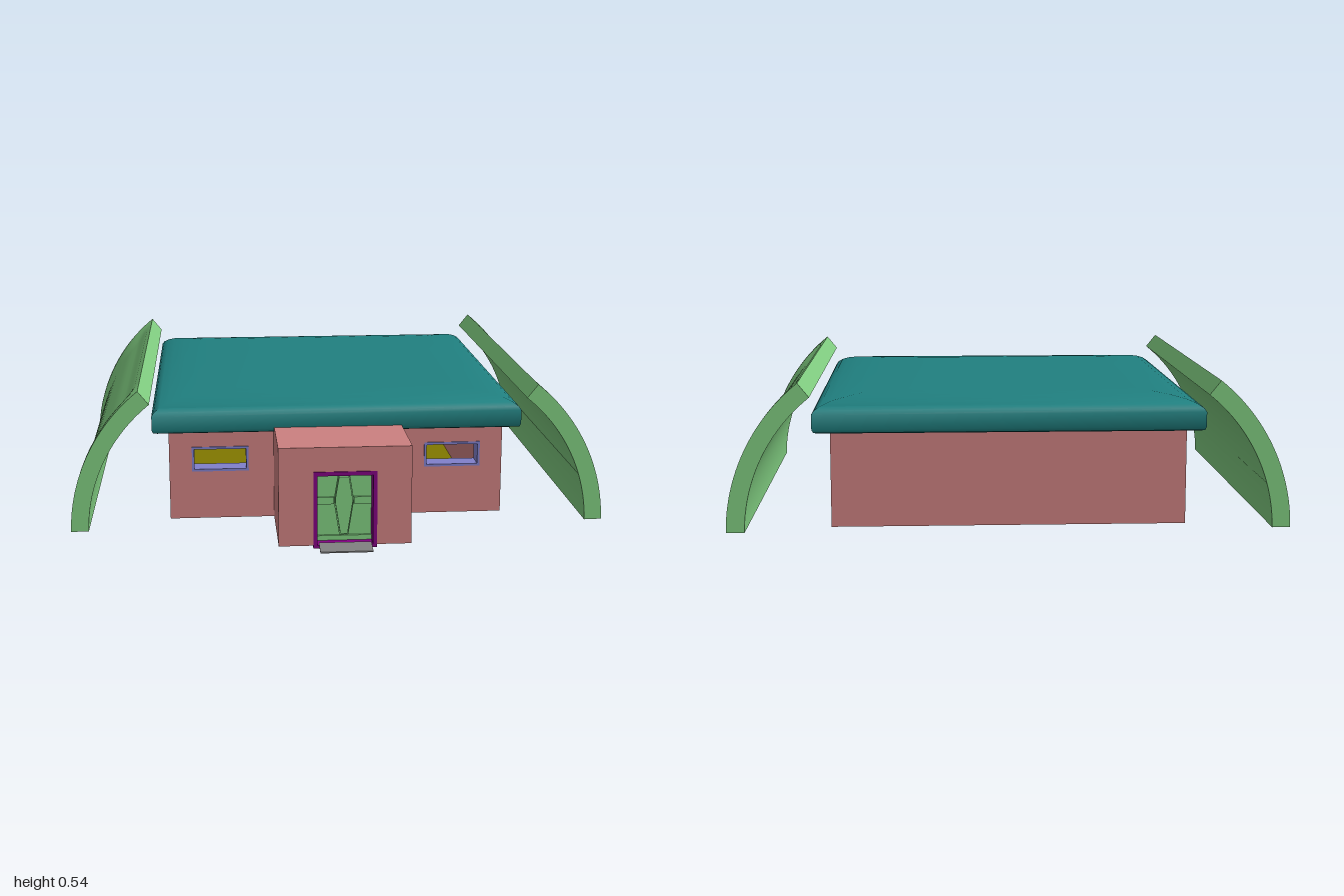
import * as THREE from 'three';
import { toCreasedNormals } from 'three/addons/utils/BufferGeometryUtils.js';

const mat = (color, side = THREE.FrontSide) => new THREE.MeshStandardMaterial({ color, side });
const PINK = mat(0xcc8080), TEAL = mat(0x208080), GREEN = mat(0x80cc80), OLIVE = mat(0x807800);
const PURPLE = mat(0x800080), BLUE = mat(0x8080cc), GREY = mat(0x808080);

function add(parent, name, geometry, material) {
  const mesh = new THREE.Mesh(geometry, material);
  mesh.name = name;
  parent.add(mesh);
  return mesh;
}

// Box given by its limits on each axis
function box(parent, name, material, [x0, x1], [y0, y1], [z0, z1]) {
  const mesh = add(parent, name, new THREE.BoxGeometry(x1 - x0, y1 - y0, z1 - z0), material);
  mesh.position.set((x0 + x1) / 2, (y0 + y1) / 2, (z0 + z1) / 2);
  return mesh;
}

const polygon = (pts, Type = THREE.Shape) => new Type(pts.map(([x, y]) => new THREE.Vector2(x, y)));
const rectPoints = (x0, x1, y0, y1) => [[x0, y0], [x1, y0], [x1, y1], [x0, y1]];

// Upright panel between two depths, with optional holes
function panel(parent, name, material, outline, z0, z1, holes = []) {
  const shape = polygon(outline);
  holes.forEach((h) => shape.holes.push(polygon(h, THREE.Path)));
  const geometry = new THREE.ExtrudeGeometry(shape, { depth: z1 - z0, bevelEnabled: false });
  return add(parent, name, geometry.translate(0, 0, z0), material);
}

// Closed skin over equal rings of points, capped at both ends
function loft(rings, crease) {
  const n = rings[0].length, last = (rings.length - 1) * n, index = [];
  for (let k = 0; k < rings.length - 1; k++) {
    for (let i = 0; i < n; i++) {
      const a = k * n + i, b = k * n + (i + 1) % n;
      index.push(a, b, b + n, a, b + n, a + n);
    }
  }
  for (let i = 0; i < n / 2 - 1; i++) {
    const j = n - 1 - i;
    index.push(last + i, last + i + 1, last + j - 1, last + i, last + j - 1, last + j);
    index.push(i, j - 1, i + 1, i, j, j - 1);
  }
  const geometry = new THREE.BufferGeometry();
  geometry.setAttribute('position', new THREE.Float32BufferAttribute(rings.flat(2), 3));
  geometry.setIndex(index);
  return toCreasedNormals(geometry, crease);
}

// Curved side shield with a shallow sunken panel on its outer face
function shieldGeometry() {
  const centre = 0.309, outer = 0.69, inner = 0.625, start = 0.016, end = 0.897, steps = 24;
  const smooth = THREE.MathUtils.smoothstep;
  const zs = [];
  for (let i = 0; i <= 10; i++) zs.push(-0.76 + 0.022 * i);
  for (let i = 0; i <= 10; i++) zs.push(0.54 + 0.022 * i);
  const rings = zs.map((z) => {
    const ring = [];
    const point = (r, t) => {
      const a = start + (end - start) * t;
      ring.push([centre + r * Math.cos(a), r * Math.sin(a), z]);
    };
    for (let i = 0; i <= steps; i++) {
      const t = i / steps;
      const sunken = smooth(0.76 - Math.abs(z), 0.04, 0.19) * smooth(Math.min(t, 1 - t), 0, 0.16);
      point(outer - 0.016 * sunken, t);
    }
    for (let i = steps; i >= 0; i--) point(inner, i / steps);
    return ring;
  });
  return loft(rings, 0.7);
}

export function createModel() {
  const model = new THREE.Group();
  model.name = 'shieldedHouse';

  // Main hall: front wall with two window holes and a doorway
  const hall = new THREE.Group();
  hall.name = 'hall';
  model.add(hall);
  const w = 0.635, y0 = 0.01, top = 0.375, front = 0.475, back = -0.83, t = 0.07;
  const win = (s) => rectPoints(s * 0.4425 - 0.107, s * 0.4425 + 0.107, 0.195, 0.29);
  panel(hall, 'frontWall', PINK,
    [[-w, y0], [-0.115, y0], [-0.115, 0.285], [0.115, 0.285], [0.115, y0], [w, y0], [w, top], [-w, top]],
    front - t, front, [win(-1), win(1)]);
  box(hall, 'backWall', PINK, [-w, w], [y0, top], [back, back + t]);
  for (const s of [-1, 1]) {
    const xs = s < 0 ? [-w, -w + t] : [w - t, w];
    box(hall, 'sideWall', PINK, xs, [y0, top], [back + t, front - t]);
    const cx = s * 0.4425;
    panel(hall, 'windowFrame', BLUE, win(s), front - t - 0.004, front + 0.005,
      [rectPoints(cx - 0.098, cx + 0.098, 0.204, 0.281)]);
  }
  box(hall, 'floor', OLIVE, [-w + t, w - t], [0.012, 0.024], [back + t, front - t]);

  // Roof: rectangular rings that swell at the rim and flatten on top
  const profile = [[0.02, 0.355], [0.005, 0.36], [0, 0.372], [0, 0.425], [0.008, 0.437], [0.028, 0.45],
    [0.06, 0.462], [0.11, 0.471], [0.17, 0.477], [0.23, 0.48]];
  const rings = profile.map(([inset, y]) => {
    const x = 0.695 - inset, z1 = 0.535 - inset, z0 = -0.89 + inset;
    return [[x, y, z1], [x, y, z0], [-x, y, z0], [-x, y, z1]];
  });
  add(model, 'roof', loft(rings, 0.75), TEAL);

  // Entrance porch, hollow and open underneath
  const porch = new THREE.Group();
  porch.name = 'porch';
  model.add(porch);
  const pw = 0.24, pf = 0.835, pi = 0.765;
  panel(porch, 'porchFront', PINK,
    [[-pw, y0], [-0.11, y0], [-0.11, 0.28], [0.11, 0.28], [0.11, y0], [pw, y0], [pw, top], [-pw, top]], pi, pf);
  box(porch, 'porchSide', PINK, [-pw, -pw + t], [y0, top], [front, pi]);
  box(porch, 'porchSide', PINK, [pw - t, pw], [y0, top], [front, pi]);
  box(porch, 'porchRoof', PINK, [-pw + t, pw - t], [top - 0.05, top], [front, pi]);
  panel(porch, 'doorFrame', PURPLE, rectPoints(-0.115, 0.115, 0, 0.285), 0.70, 0.839,
    [rectPoints(-0.1, 0.1, 0.012, 0.27)]);

  // Double door: two shaped leaves, a waisted centre lock and cross bars
  const leaf = [[0.1, 0.012], [0.1, 0.27], [0.021, 0.27], [0.021, 0.25], [0.034, 0.17], [0.034, 0.15],
    [0.016, 0.035], [0.016, 0.012]];
  const lock = [[-0.013, 0.035], [0.013, 0.035], [0.031, 0.15], [0.031, 0.17], [0.018, 0.25], [-0.018, 0.25],
    [-0.031, 0.17], [-0.031, 0.15]];
  box(porch, 'doorBacking', GREEN, [-0.1, 0.1], [0.012, 0.27], [0.75, 0.765]);
  panel(porch, 'doorLock', GREEN, lock, 0.765, 0.783);
  for (const s of [-1, 1]) {
    panel(porch, 'doorLeaf', GREEN, leaf.map(([x, y]) => [s * x, y]), 0.765, 0.775);
    box(porch, 'doorBar', GREEN, s < 0 ? [-0.1, -0.036] : [0.036, 0.1], [0.148, 0.174], [0.775, 0.783]);
  }
  box(porch, 'doorSill', GREEN, [-0.1, 0.1], [0.012, 0.03], [0.775, 0.785]);

  // Sloping entry ramp
  const ramp = [[0.095, 0.83, 0.019], [0.095, 0.905, 0.009]].map(([x, z, y]) =>
    [[-x, y - 0.005, z], [x, y - 0.005, z], [x, y, z], [-x, y, z]]);
  add(model, 'ramp', loft(ramp, 0.2), GREY);

  // Matching curved shields along both sides
  const shield = shieldGeometry();
  for (const s of [1, -1]) {
    const mesh = add(model, s > 0 ? 'leftShield' : 'rightShield', shield, GREEN);
    mesh.position.z = -0.15;
    mesh.rotation.y = s > 0 ? 0 : Math.PI;
  }
  return model;
}
